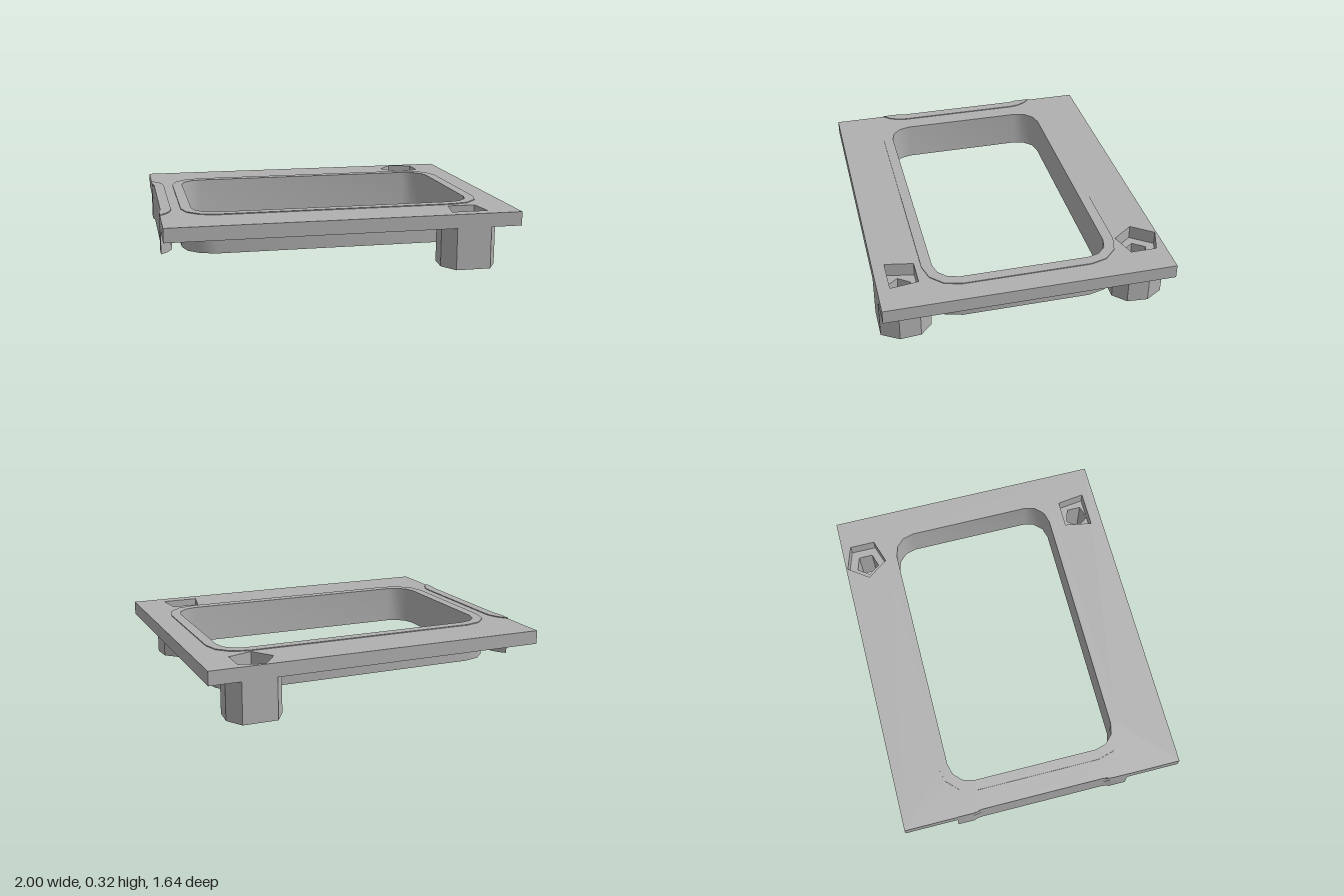
import * as THREE from 'three';
import { toCreasedNormals } from 'three/addons/utils/BufferGeometryUtils.js';

const PLATE_BOTTOM = 0.24, PLATE_TOP = 0.32;
const RIM_BOTTOM = 0.1, RIM_TOP = 0.325;

const points = (list) => list.map(([x, z]) => new THREE.Vector2(x, z));

// Rounded rectangle in plan, three facets per corner
function roundedRect(halfX, halfZ, radius) {
  const list = [];
  [[1, 1], [-1, 1], [-1, -1], [1, -1]].forEach(([sx, sz], corner) => {
    for (let i = 0; i <= 3; i++) {
      const a = (corner + i / 3) * Math.PI / 2;
      list.push([sx * (halfX - radius) + radius * Math.cos(a), sz * (halfZ - radius) + radius * Math.sin(a)]);
    }
  });
  return points(list);
}

// Pentagon pointing towards -x
function pentagon(cx, cz, radius) {
  return points(Array.from({ length: 5 }, (_, i) => {
    const a = Math.PI + i * Math.PI * 2 / 5;
    return [cx + radius * Math.cos(a), cz + radius * Math.sin(a)];
  }));
}

// Extrude a plan outline (x, z) between two heights
function slab(name, outline, holes, bottom, top, material, crease) {
  const shape = new THREE.Shape(outline);
  holes.forEach((hole) => shape.holes.push(new THREE.Path(hole)));
  let geometry = new THREE.ExtrudeGeometry(shape, { depth: top - bottom, bevelEnabled: false });
  geometry.rotateX(Math.PI / 2).translate(0, top, 0);
  if (crease) geometry = toCreasedNormals(geometry, crease);
  const mesh = new THREE.Mesh(geometry, material);
  mesh.name = name;
  return mesh;
}

export function createModel() {
  const group = new THREE.Group();
  group.name = 'framePanel';
  const grey = new THREE.MeshStandardMaterial({ color: 0xb0b0b0 });
  grey.name = 'grey';

  // Flat plate with the window, two screw recesses and a shallow edge notch
  const plateOutline = points([
    [-1, -0.82], [1, -0.82], [1, 0.82], [-1, 0.82],
    [-1, 0.41], [-0.99, 0.36], [-0.99, -0.36], [-1, -0.41],
  ]);
  const squareRecess = points([[0.64, 0.59], [0.8, 0.59], [0.82, 0.75], [0.61, 0.75]]);
  group.add(slab('plate', plateOutline,
    [roundedRect(0.85, 0.53, 0.165), pentagon(0.72, -0.69, 0.127), squareRecess],
    PLATE_BOTTOM, PLATE_TOP, grey));

  // Rim lining the window, barely proud of the plate
  group.add(slab('windowRim', roundedRect(0.875, 0.555, 0.19), [roundedRect(0.815, 0.495, 0.13)],
    RIM_BOTTOM, RIM_TOP, grey, 0.7));

  // Partial second rim at the edge, its rounded ends cut off by the plate side
  const edge = [];
  for (const [radius, from, to] of [[0.19, -1, 1], [0.13, 1, -1]]) {
    const limit = Math.acos(0.12 / radius);
    for (const side of [from, to]) {
      for (let i = 0; i <= 3; i++) {
        const t = side === from ? 1 - i / 3 : i / 3;
        const a = side * limit * t;
        edge.push([-1.12 + radius * Math.cos(a), side * 0.365 + radius * Math.sin(a)]);
      }
    }
  }
  group.add(slab('edgeRim', points(edge), [], RIM_BOTTOM, RIM_TOP, grey, 0.7));

  // Eight-sided screw posts with pentagonal bores
  const post = [[0.82, 0.82], [0.88, 0.72], [0.87, 0.6], [0.8, 0.53],
    [0.64, 0.53], [0.57, 0.6], [0.56, 0.72], [0.62, 0.82]];
  for (const [name, side] of [['frontPost', 1], ['backPost', -1]]) {
    group.add(slab(name, points(post.map(([x, z]) => [x, side * z])),
      [pentagon(0.72, side * 0.687, 0.07)], 0, PLATE_BOTTOM, grey));
  }
  return group;
}
